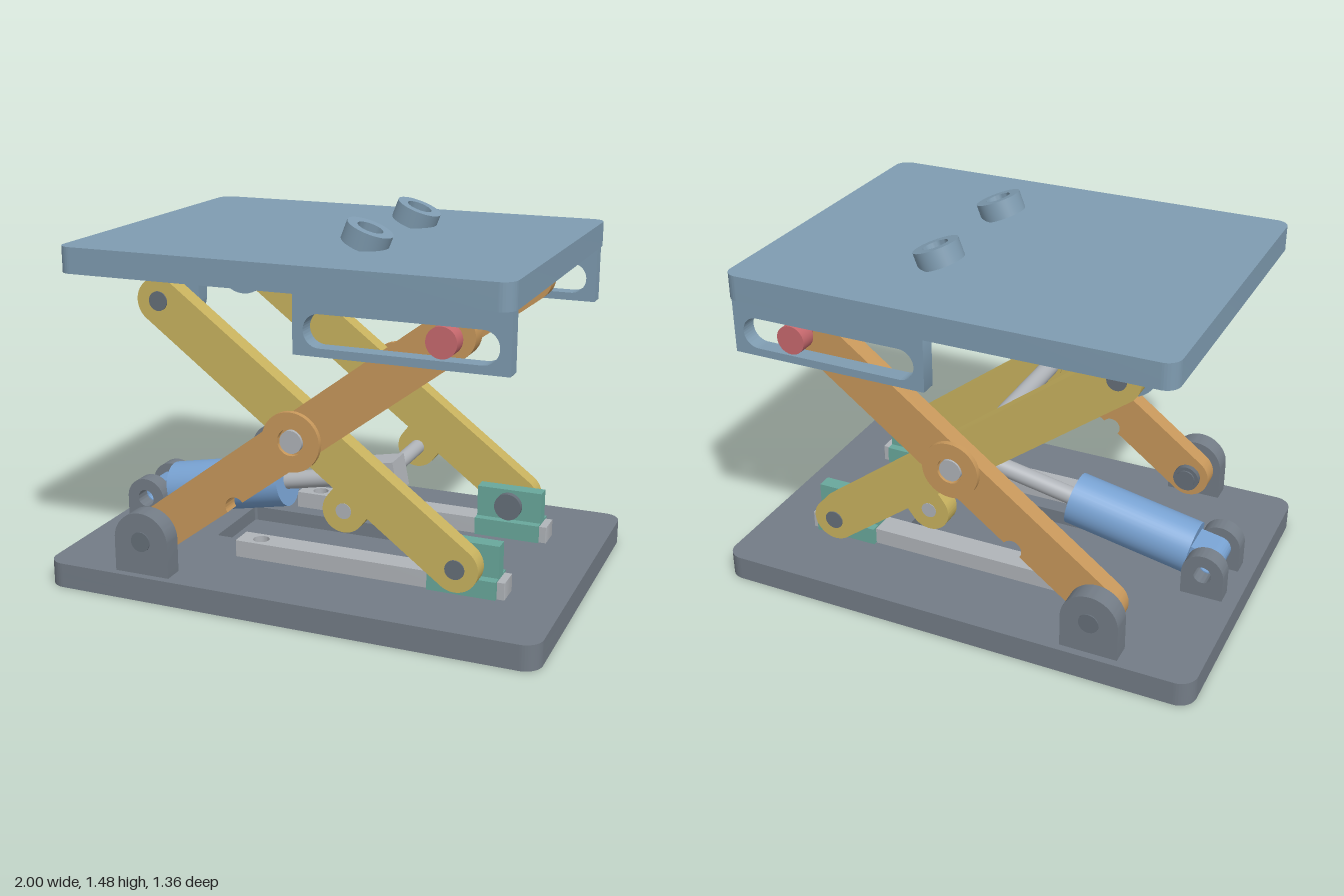
import * as THREE from 'three';
import { toCreasedNormals } from 'three/addons/utils/BufferGeometryUtils.js';

const paint = (name, color) => {
  const m = new THREE.MeshStandardMaterial({ color });
  m.name = name;
  return m;
};

export function createModel() {
  const model = new THREE.Group();
  model.name = 'scissorLift';
  const plateBlue = paint('plate blue grey', 0x7f9cb1);
  const baseGrey = paint('base grey', 0x737c86);
  const yellow = paint('yellow', 0xc9b35f);
  const orange = paint('orange', 0xc8985b);
  const steel = paint('light steel', 0xb0b4b9);
  const blue = paint('cylinder blue', 0x78a2d2);
  const teal = paint('teal', 0x69a89c);
  const red = paint('red', 0xc8696e);
  const pinGrey = paint('pin grey', 0x666f79);

  const add = (name, geo, mat, x = 0, y = 0, z = 0, parent = model) => {
    const m = new THREE.Mesh(geo, mat);
    m.name = name;
    m.position.set(x, y, z);
    parent.add(m);
    return m;
  };
  const extrude = (shape, depth) => toCreasedNormals(
    new THREE.ExtrudeGeometry(shape, { depth, bevelEnabled: false, curveSegments: 20 }), 0.5);
  // upright slab between z0 and z1, mirrored by side
  const slab = (name, shape, z0, z1, side, mat, x, y) =>
    add(name, extrude(shape, z1 - z0), mat, x, y, side > 0 ? z0 : -z1);
  // flat slab lying on height y
  const flat = (name, shape, y, h, mat, x = 0, z = 0) =>
    add(name, extrude(shape, h).rotateX(-Math.PI / 2), mat, x, y, z);
  // round bar along z
  const bar = (name, r, z0, z1, side, mat, x, y) =>
    add(name, new THREE.CylinderGeometry(r, r, z1 - z0, 32).rotateX(Math.PI / 2), mat, x, y, side * (z0 + z1) / 2);
  const box = (name, w, h, d, mat, x, y, z, parent) =>
    add(name, new THREE.BoxGeometry(w, h, d), mat, x, y, z, parent);

  const hole = (x, y, r) => new THREE.Path().absarc(x, y, r, 0, Math.PI * 2, true);
  const roundRect = (x0, y0, x1, y1, r, Type = THREE.Shape) => {
    const s = new Type();
    s.moveTo(x0 + r, y0);
    s.lineTo(x1 - r, y0);
    s.absarc(x1 - r, y0 + r, r, -Math.PI / 2, 0, false);
    s.absarc(x1 - r, y1 - r, r, 0, Math.PI / 2, false);
    s.absarc(x0 + r, y1 - r, r, Math.PI / 2, Math.PI, false);
    s.absarc(x0 + r, y0 + r, r, Math.PI, Math.PI * 1.5, false);
    return s;
  };
  // round-topped bracket around the origin, reaching down (or up) by h
  const bracket = (r, h, flip = false) => {
    const s = new THREE.Shape();
    if (flip) {
      s.moveTo(r, h);
      s.lineTo(-r, h);
      s.absarc(0, 0, r, Math.PI, Math.PI * 2, false);
    } else {
      s.moveTo(-r, -h);
      s.lineTo(r, -h);
      s.absarc(0, 0, r, 0, Math.PI, false);
    }
    return s;
  };
  // scissor arm, optionally with a lug or a notch on its lower edge
  const HALF = 0.7515, W = 0.09;
  const armShape = (kind) => {
    const s = new THREE.Shape();
    s.moveTo(-HALF, -W);
    if (kind === 'lug') {
      s.lineTo(0.216, -W);
      s.absarc(0.301, -0.133, 0.085, Math.PI, Math.PI * 2, false);
      s.lineTo(0.386, -W);
    } else {
      s.lineTo(-0.412, -W);
      s.absarc(-0.372, -W, 0.04, Math.PI, 0, true);
    }
    s.lineTo(HALF, -W);
    s.absarc(HALF, 0, W, -Math.PI / 2, Math.PI / 2, false);
    s.lineTo(-HALF, W);
    s.absarc(-HALF, 0, W, Math.PI / 2, Math.PI * 1.5, false);
    return s;
  };

  const LEFT = -0.585, RIGHT = 0.615, LOW = 0.235, HIGH = 1.14;
  const CX = 0.015, CY = 0.6875, TILT = Math.atan2(HIGH - LOW, RIGHT - LEFT);

  // base with a shallow pocket under the cylinder
  flat('baseBottom', roundRect(-1, -0.68, 1, 0.68, 0.07), 0, 0.04, baseGrey);
  const baseTop = roundRect(-1, -0.68, 1, 0.68, 0.07);
  baseTop.holes.push(roundRect(-0.5, -0.18, 0.42, 0.18, 0.01, THREE.Path));
  flat('baseTop', baseTop, 0.04, 0.06, baseGrey);

  // platform
  flat('platform', roundRect(-0.875, -0.68, 0.87, 0.68, 0.055), 1.27, 0.1, plateBlue);

  const ring = new THREE.Shape().absarc(0, 0, 0.09, 0, Math.PI * 2, false);
  ring.holes.push(hole(0, 0, 0.05));

  const slotPlate = roundRect(0.065, 1.045, 0.86, 1.27, 0.002);
  slotPlate.holes.push(roundRect(0.105, 1.076, 0.82, 1.199, 0.061, THREE.Path));

  const railShape = roundRect(-0.33, -0.05, 0.78, 0.05, 0.002);
  railShape.holes.push(hole(-0.24, 0, 0.033), hole(0.69, 0, 0.033));

  const eye = bracket(0.085, 0.1);
  eye.holes.push(hole(0, 0, 0.036));

  for (const s of [1, -1]) {
    // tilted rings on the platform
    flat('platformRing', ring, 0, 0.072, plateBlue).position.set(0.182, 1.377, s * 0.268);
    model.children.at(-1).rotation.z = -0.37;

    // platform brackets
    slab('slotBracket', slotPlate, 0.585, 0.65, s, plateBlue, 0, 0);
    slab('hangerBracket', bracket(0.115, 0.13, true), 0.27, 0.337, s, plateBlue, LEFT, HIGH);

    // scissor arms and hub
    slab('innerArm', armShape('lug'), 0.374, 0.447, s, yellow, CX, CY).rotation.z = -TILT;
    slab('outerArm', armShape('notch'), 0.474, 0.548, s, orange, CX, CY).rotation.z = TILT;
    const hub = new THREE.Shape().absarc(0, 0, 0.115, 0, Math.PI * 2, false);
    hub.holes.push(hole(0, 0, 0.052));
    slab('outerHub', hub, 0.548, 0.57, s, orange, CX, CY);
    bar('innerSpacer', 0.052, 0.362, 0.374, s, yellow, CX, CY);
    bar('middleSpacer', 0.055, 0.447, 0.474, s, orange, CX, CY);
    bar('shaftEnd', 0.044, 0.54, 0.568, s, steel, CX, CY);

    // rollers in the slots
    bar('rollerShaft', 0.032, 0.471, 0.6, s, red, RIGHT, HIGH);
    bar('roller', 0.057, 0.586, 0.652, s, red, RIGHT, HIGH);

    // pins with heads
    for (const [x, y] of [[LEFT, HIGH], [RIGHT, LOW]]) {
      bar('armPin', 0.038, 0.25, 0.452, s, pinGrey, x, y);
      bar('armPinHead', 0.056, 0.243, 0.268, s, pinGrey, x, y);
    }
    bar('basePin', 0.04, 0.44, 0.655, s, pinGrey, LEFT, LOW);
    bar('basePinHead', 0.056, 0.448, 0.472, s, pinGrey, LEFT, LOW);

    // base brackets
    slab('baseBracket', bracket(0.115, 0.135), 0.568, 0.65, s, baseGrey, LEFT, LOW);
    slab('cylinderBracket', eye, 0.075, 0.145, s, baseGrey, -0.855, 0.2);

    // rail with sliding block and screws
    flat('rail', railShape, 0.1, 0.068, steel, 0, s * 0.3);
    for (const x of [-0.24, 0.69])
      add('railScrew', new THREE.CylinderGeometry(0.02, 0.02, 0.008, 20), steel, x, 0.003, s * 0.3);
    box('sliderSaddle', 0.27, 0.072, 0.134, teal, RIGHT, 0.138, s * 0.302);
    box('sliderPlate', 0.27, 0.13, 0.06, teal, RIGHT, 0.237, s * 0.3);
  }

  // cross shafts
  bar('centreShaft', 0.037, -0.54, 0.54, 1, steel, CX, CY);
  bar('pushShaft', 0.031, -0.449, 0.449, 1, steel, 0.175, 0.4);

  // cylinder and rod, built along local +x from the rear pivot
  const ram = new THREE.Group();
  ram.name = 'hydraulicRam';
  ram.position.set(-0.855, 0.2, 0);
  ram.rotation.z = Math.atan2(0.2, 1.03);
  model.add(ram);
  const along = (name, r, x0, x1, mat) =>
    add(name, new THREE.CylinderGeometry(r, r, x1 - x0, 40).rotateZ(-Math.PI / 2), mat, (x0 + x1) / 2, 0, 0, ram);
  along('cylinderBody', 0.108, 0.085, 0.605, blue);
  along('pistonRod', 0.037, 0.6, 1.02, steel);
  const tang = new THREE.Shape();
  tang.moveTo(0, -0.05);
  tang.lineTo(0.1, -0.05);
  tang.lineTo(0.1, 0.05);
  tang.lineTo(0, 0.05);
  tang.absarc(0, 0, 0.05, Math.PI / 2, Math.PI * 1.5, false);
  tang.holes.push(hole(0, 0, 0.035));
  add('cylinderTang', extrude(tang, 0.14), blue, 0, 0, -0.07, ram);
  box('rodBlock', 0.13, 0.13, 0.13, steel, 1.049, 0, 0, ram);

  return model;
}
